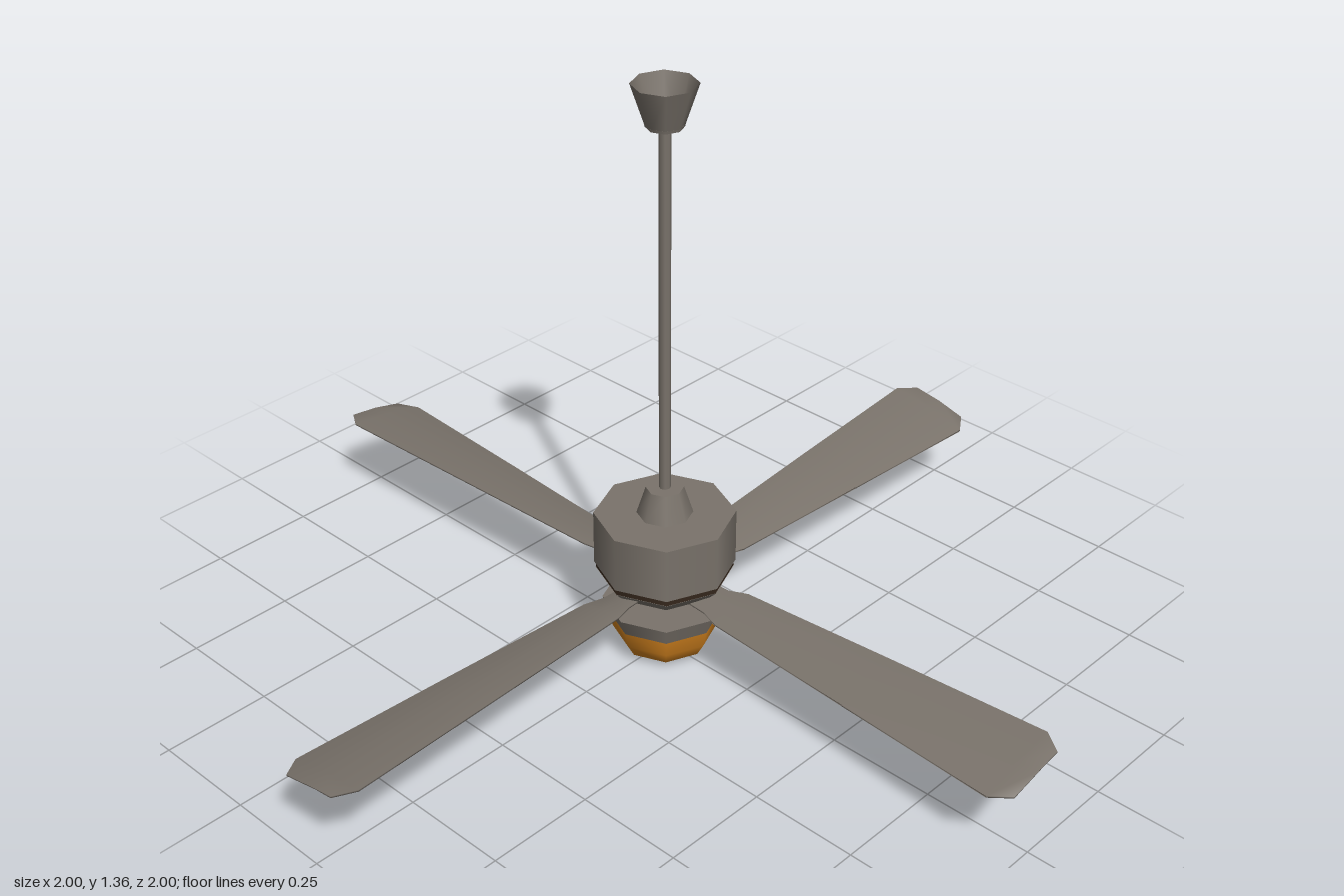
import * as THREE from 'three';

const metal = new THREE.MeshStandardMaterial({ color: 0x7a736b, side: THREE.DoubleSide });
metal.name = 'warm grey metal';
const dark = new THREE.MeshStandardMaterial({ color: 0x35271c });
dark.name = 'dark brown trim';
const amber = new THREE.MeshStandardMaterial({ color: 0xd5841f });
amber.name = 'amber glass';

const SIDES = 8;

// Eight-sided tapered drum between two heights
function drum(name, material, y0, r0, y1, r1, open = false) {
  const mesh = new THREE.Mesh(
    new THREE.CylinderGeometry(r1, r0, y1 - y0, SIDES, 1, open), material);
  mesh.position.y = (y0 + y1) / 2;
  mesh.name = name;
  return mesh;
}

// Pitched, slightly arched blade running along +x
function bladeGeometry() {
  // distance from the axis, half width, centre height
  const stations = [
    [0.08, 0.036, 0.189], [0.155, 0.040, 0.189], [0.2, 0.055, 0.191],
    [0.575, 0.078, 0.196], [0.955, 0.1, 0.2], [1.0, 0.07, 0.2],
  ];
  const thick = 0.004, ring = 6;
  const positions = [], index = [];
  for (const [x, w, y] of stations) {
    const rise = 0.2 * w, arch = 0.06 * w;
    // top: back to front, then underside: front to back
    for (const [s, side] of [[-1, 1], [0, 1], [1, 1], [1, -1], [0, -1], [-1, -1]]) {
      positions.push(x, y - s * rise + (s === 0 ? arch : 0) + side * thick / 2, s * w);
    }
  }
  for (let i = 0; i < stations.length - 1; i++) {
    for (let j = 0; j < ring; j++) {
      const a = i * ring + j, b = i * ring + (j + 1) % ring;
      index.push(a, b, a + ring, b, b + ring, a + ring);
    }
  }
  // tip cap
  const e = (stations.length - 1) * ring;
  for (let j = 1; j < ring - 1; j++) index.push(e, e + j, e + j + 1);
  const g = new THREE.BufferGeometry();
  g.setAttribute('position', new THREE.Float32BufferAttribute(positions, 3));
  g.setIndex(index);
  g.computeVertexNormals();
  return g;
}

export function createModel() {
  const model = new THREE.Group();
  model.name = 'ceilingFan';

  // Ceiling mount: cup open at the top, with a floor, and the hanging rod
  model.add(drum('ceilingCup', metal, 1.27, 0.04, 1.36, 0.07, true));
  model.add(drum('cupFloor', metal, 1.268, 0.04, 1.274, 0.0415));
  model.add(drum('rod', metal, 0.4, 0.013, 1.272, 0.013));

  // Motor housing
  model.add(drum('motorCollar', metal, 0.353, 0.063, 0.42, 0.042));
  model.add(drum('motorHousing', metal, 0.225, 0.157, 0.355, 0.157));
  model.add(drum('motorGroove', dark, 0.211, 0.153, 0.225, 0.153));
  model.add(drum('motorBase', metal, 0.18, 0.125, 0.211, 0.154));

  // Four blades
  const blade = bladeGeometry();
  for (let i = 0; i < 4; i++) {
    const mesh = new THREE.Mesh(blade, metal);
    mesh.rotation.y = i * Math.PI / 2;
    mesh.name = 'blade' + (i + 1);
    model.add(mesh);
  }

  // Lamp
  model.add(drum('lampNeck', metal, 0.128, 0.052, 0.182, 0.052));
  model.add(drum('lampHolder', metal, 0.09, 0.127, 0.13, 0.14));
  const profile = [[0, 0], [0.072, 0.002], [0.1, 0.018], [0.118, 0.05], [0.127, 0.09]]
    .map(([r, y]) => new THREE.Vector2(r, y));
  const bowl = new THREE.Mesh(new THREE.LatheGeometry(profile, SIDES), amber);
  bowl.name = 'lampBowl';
  model.add(bowl);

  return model;
}
